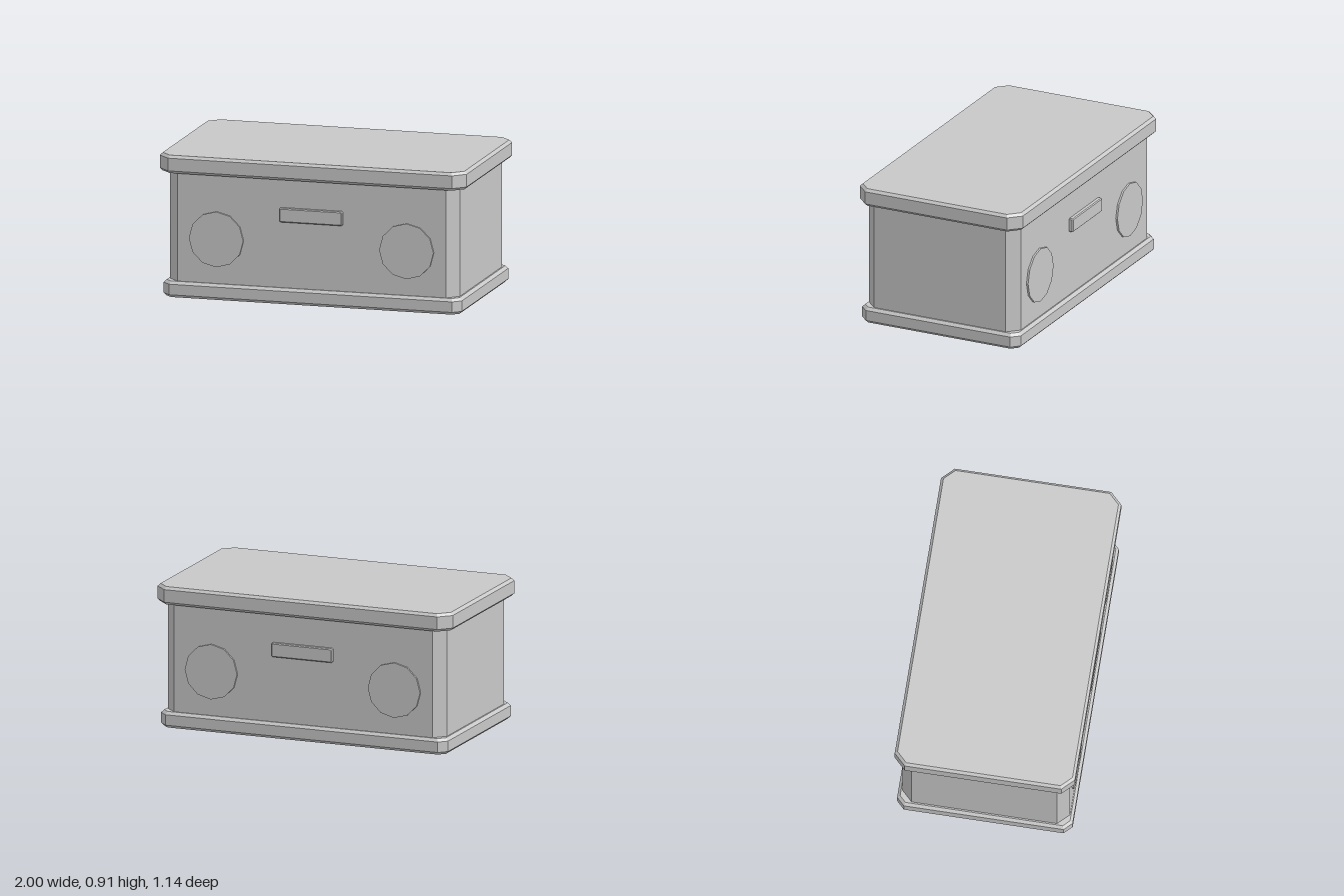
import * as THREE from 'three';

const grey = new THREE.MeshStandardMaterial({ color: 0xc8c8c8 });
grey.name = 'light grey';

// Rectangle with cut corners, extruded along z from 0 to depth with chamfered rims
function slab(halfW, halfH, cut, depth, bevel) {
  const a = halfW - cut, b = halfH - cut;
  const points = [
    [a, -halfH], [halfW, -b], [halfW, b], [a, halfH],
    [-a, halfH], [-halfW, b], [-halfW, -b], [-a, -halfH],
  ].map(([x, y]) => new THREE.Vector2(x, y));
  const geometry = new THREE.ExtrudeGeometry(new THREE.Shape(points), {
    depth: depth - 2 * bevel,
    bevelEnabled: bevel > 0,
    bevelSegments: 1,
    bevelSize: bevel,
    bevelThickness: bevel,
    bevelOffset: -bevel,
  });
  return geometry.translate(0, 0, bevel);
}

function addMesh(parent, name, geometry) {
  const mesh = new THREE.Mesh(geometry, grey);
  mesh.name = name;
  parent.add(mesh);
  return mesh;
}

// Horizontal slab standing between two heights
function addTier(parent, name, halfW, halfD, cut, y0, y1, bevel) {
  const geometry = slab(halfW, halfD, cut, y1 - y0, bevel);
  geometry.rotateX(-Math.PI / 2).translate(0, y0, 0);
  return addMesh(parent, name, geometry);
}

export function createModel() {
  const model = new THREE.Group();
  model.name = 'chest';

  // Stacked box: plinth, body and overhanging lid
  addTier(model, 'base', 0.972, 0.555, 0.05, 0, 0.103, 0.018);
  addTier(model, 'body', 0.945, 0.53, 0.07, 0.09, 0.81, 0);
  addTier(model, 'lid', 1, 0.57, 0.075, 0.795, 0.91, 0.017);

  // The same handle and round panels on the front and the back
  for (const side of ['front', 'back']) {
    const face = new THREE.Group();
    face.name = side + 'Fittings';
    if (side === 'back') face.rotation.y = Math.PI;

    const handle = addMesh(face, side + 'Handle', slab(0.205, 0.045, 0.006, 0.037, 0.006));
    handle.position.set(0, 0.57, 0.52);

    for (const x of [-0.62, 0.62]) {
      const disc = new THREE.CylinderGeometry(0.177, 0.177, 0.022, 12).toNonIndexed();
      disc.computeVertexNormals();
      disc.rotateX(Math.PI / 2);
      const panel = addMesh(face, side + 'RoundPanel', disc);
      panel.position.set(x, 0.386, 0.531);
    }
    model.add(face);
  }
  return model;
}
